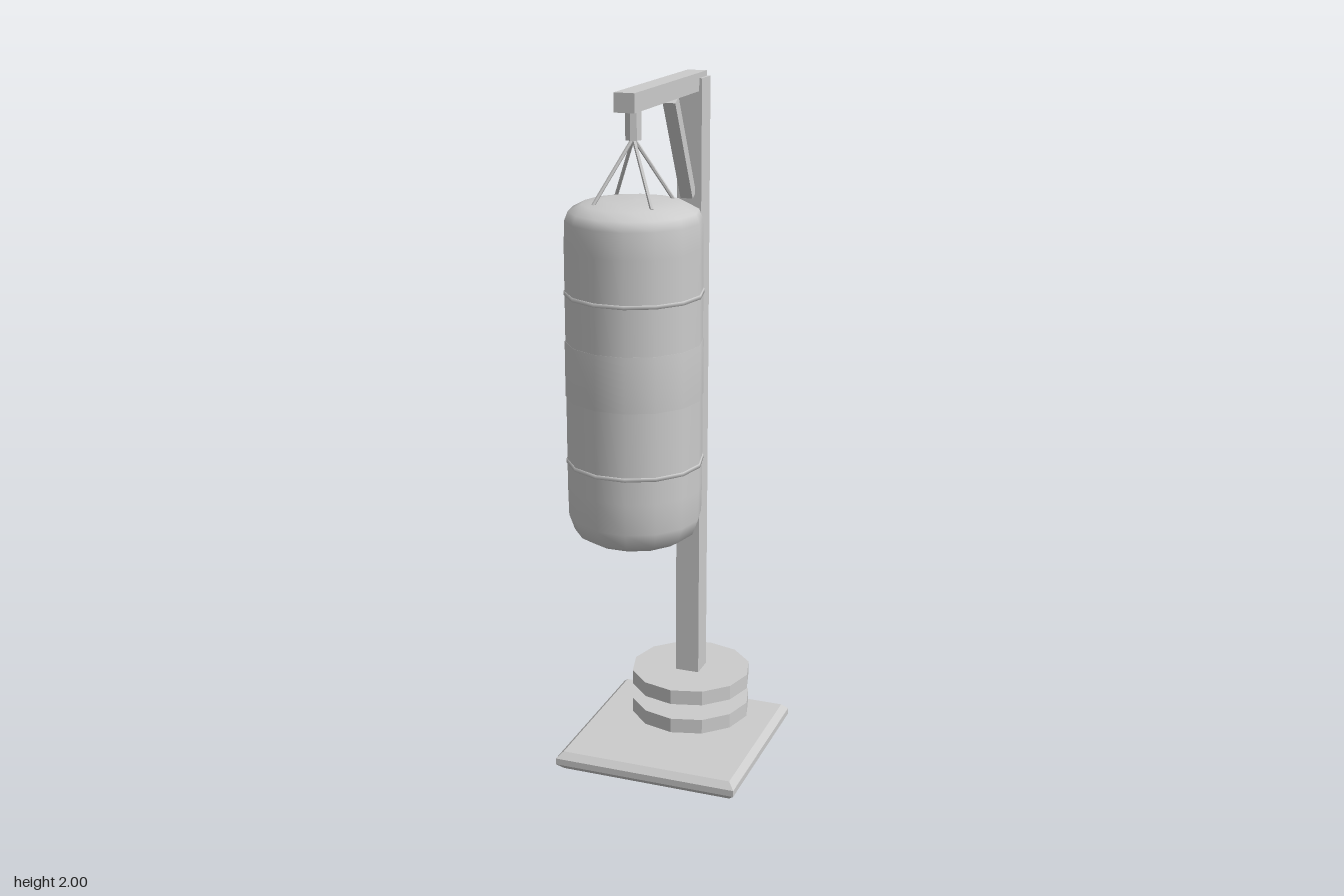
import * as THREE from 'three';

const POST_Z = -0.232, BAG_Z = 0.23;

export function createModel() {
  const group = new THREE.Group();
  const grey = new THREE.MeshStandardMaterial({ color: 0xcccccc });
  grey.name = 'lightGrey';
  const flatGrey = grey.clone();
  flatGrey.flatShading = true;

  const add = (name, geometry, x, y, z, material = flatGrey) => {
    const mesh = new THREE.Mesh(geometry, material);
    mesh.name = name;
    mesh.position.set(x, y, z);
    group.add(mesh);
    return mesh;
  };
  // Box given by its limits in y and z, centred on x = 0
  const box = (name, width, y0, y1, z0, z1) =>
    add(name, new THREE.BoxGeometry(width, y1 - y0, z1 - z0), 0, (y0 + y1) / 2, (z0 + z1) / 2);
  // Rod running between two points
  const rod = (name, a, b, geometry) => {
    const mesh = add(name, geometry, 0, 0, 0);
    mesh.position.copy(a).add(b).multiplyScalar(0.5);
    mesh.quaternion.setFromUnitVectors(new THREE.Vector3(0, 1, 0), b.clone().sub(a).normalize());
  };

  // Base slab with every edge chamfered
  const c = 0.018, half = 0.275 - c;
  const outline = new THREE.Shape([[-1, -1], [1, -1], [1, 1], [-1, 1]]
    .map(([x, y]) => new THREE.Vector2(x * half, y * half)));
  const slab = new THREE.ExtrudeGeometry(outline, {
    depth: 0.055 - 2 * c, bevelEnabled: true, bevelSegments: 1, bevelSize: c, bevelThickness: c,
  });
  slab.translate(0, 0, c).rotateX(-Math.PI / 2);
  // pull the corners in so that the vertical edges are cut
  slab.deleteAttribute('normal');
  slab.computeVertexNormals();
  add('base', slab, 0, 0, -0.0925);

  // Upright, arm and diagonal brace
  box('post', 0.072, 0, 1.985, POST_Z - 0.036, POST_Z + 0.036);
  box('arm', 0.056, 1.95, 2, -0.259, 0.293);
  rod('brace', new THREE.Vector3(0, 1.663, -0.188), new THREE.Vector3(0, 1.943, -0.045),
    new THREE.BoxGeometry(0.036, 0.314, 0.03));

  // Weight plates around the post and the sleeve between them
  for (const y of [0.081, 0.175])
    add('weightPlate', new THREE.CylinderGeometry(0.181, 0.181, 0.045, 12), 0, y, POST_Z);
  add('plateSleeve', new THREE.CylinderGeometry(0.045, 0.045, 0.14, 12), 0, 0.125, POST_Z);

  // Bag with rounded ends
  const profile = [[0, 0.793], [0.07, 0.796], [0.135, 0.803], [0.165, 0.822], [0.18, 0.865],
    [0.182, 0.95], [0.182, 1.6], [0.18, 1.67], [0.17, 1.695], [0.135, 1.713], [0.08, 1.722], [0, 1.724]]
    .map(([r, y]) => new THREE.Vector2(r, y));
  add('bag', new THREE.LatheGeometry(profile, 14, Math.PI / 2), 0, 0, BAG_Z, grey);

  // Wide middle band and narrow seams
  const band = (name, y, height, r) => {
    const points = [[0.178, -0.5], [r, -0.5], [r, 0.5], [0.178, 0.5]]
      .map(([x, t]) => new THREE.Vector2(x, t * height));
    add(name, new THREE.LatheGeometry(points, 14, Math.PI / 2), 0, y, BAG_Z, grey);
  };
  band('middleBand', 1.275, 0.15, 0.184);
  for (const y of [1.02, 1.48]) band('seam', y, 0.01, 0.185);

  // Hanger and four straps
  add('hanger', new THREE.CylinderGeometry(0.022, 0.022, 0.08, 8), 0, 1.915, BAG_Z);
  const top = new THREE.Vector3(0, 1.88, BAG_Z);
  for (const sx of [-1, 1])
    for (const sz of [-1, 1]) {
      const foot = new THREE.Vector3(sx * 0.08, 1.715, BAG_Z + sz * 0.08);
      rod('strap', foot, top, new THREE.CylinderGeometry(0.005, 0.005, foot.distanceTo(top), 6));
    }
  return group;
}
